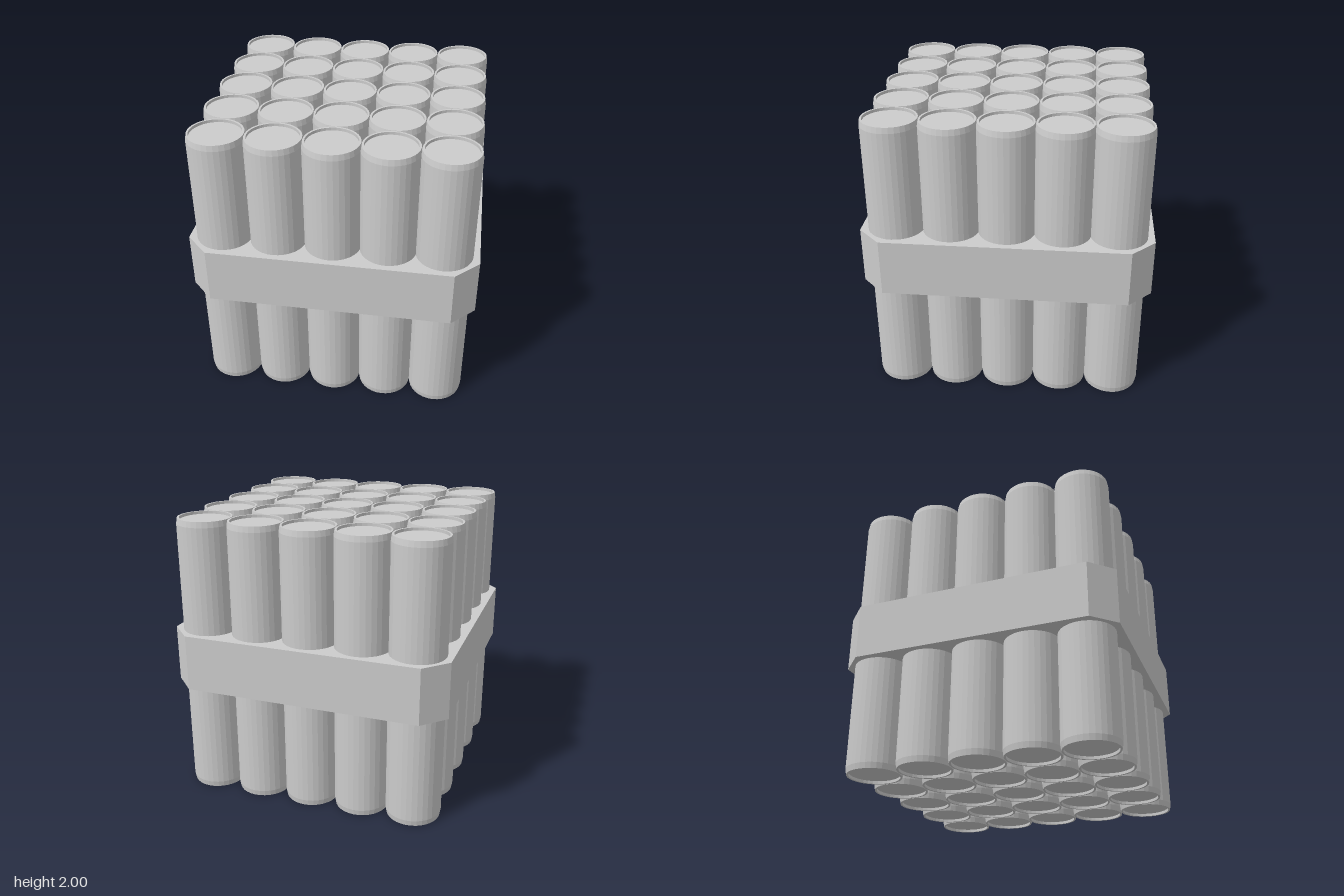
import * as THREE from 'three';

export function createModel() {
  const model = new THREE.Group();
  const material = new THREE.MeshStandardMaterial({ color: 0xcccccc, flatShading: true });

  // Holder plate: a square with cut corners, around the middle of the cells
  const a = 1, b = 0.84;
  const outline = new THREE.Shape(
    [[a, -b], [a, b], [b, a], [-b, a], [-a, b], [-a, -b], [-b, -a], [b, -a]]
      .map(([x, y]) => new THREE.Vector2(x, y)));
  const plateGeometry = new THREE.ExtrudeGeometry(outline, { depth: 0.4, bevelEnabled: false });
  plateGeometry.rotateX(-Math.PI / 2).translate(0, 0.8, 0);
  const plate = new THREE.Mesh(plateGeometry, material);
  plate.name = 'holderPlate';
  model.add(plate);

  // Cell: tapered ends with a narrow rim around a recessed cap
  const lowerEnd = [[0, 0.02], [0.174, 0.02], [0.174, 0], [0.188, 0], [0.195, 0.04]];
  const upperEnd = lowerEnd.map(([r, y]) => [r, 2 - y]).reverse();
  const profile = [...lowerEnd, ...upperEnd].map(([r, y]) => new THREE.Vector2(r, y));
  const cellGeometry = new THREE.LatheGeometry(profile, 32);

  // Five by five grid of cells
  const cells = new THREE.Group();
  cells.name = 'cells';
  const count = 5, pitch = 0.38;
  for (let row = 0; row < count; row++) {
    for (let column = 0; column < count; column++) {
      const cell = new THREE.Mesh(cellGeometry, material);
      cell.name = `cell${row + 1}_${column + 1}`;
      cell.position.set((column - 2) * pitch, 0, (row - 2) * pitch);
      cells.add(cell);
    }
  }
  model.add(cells);
  return model;
}
